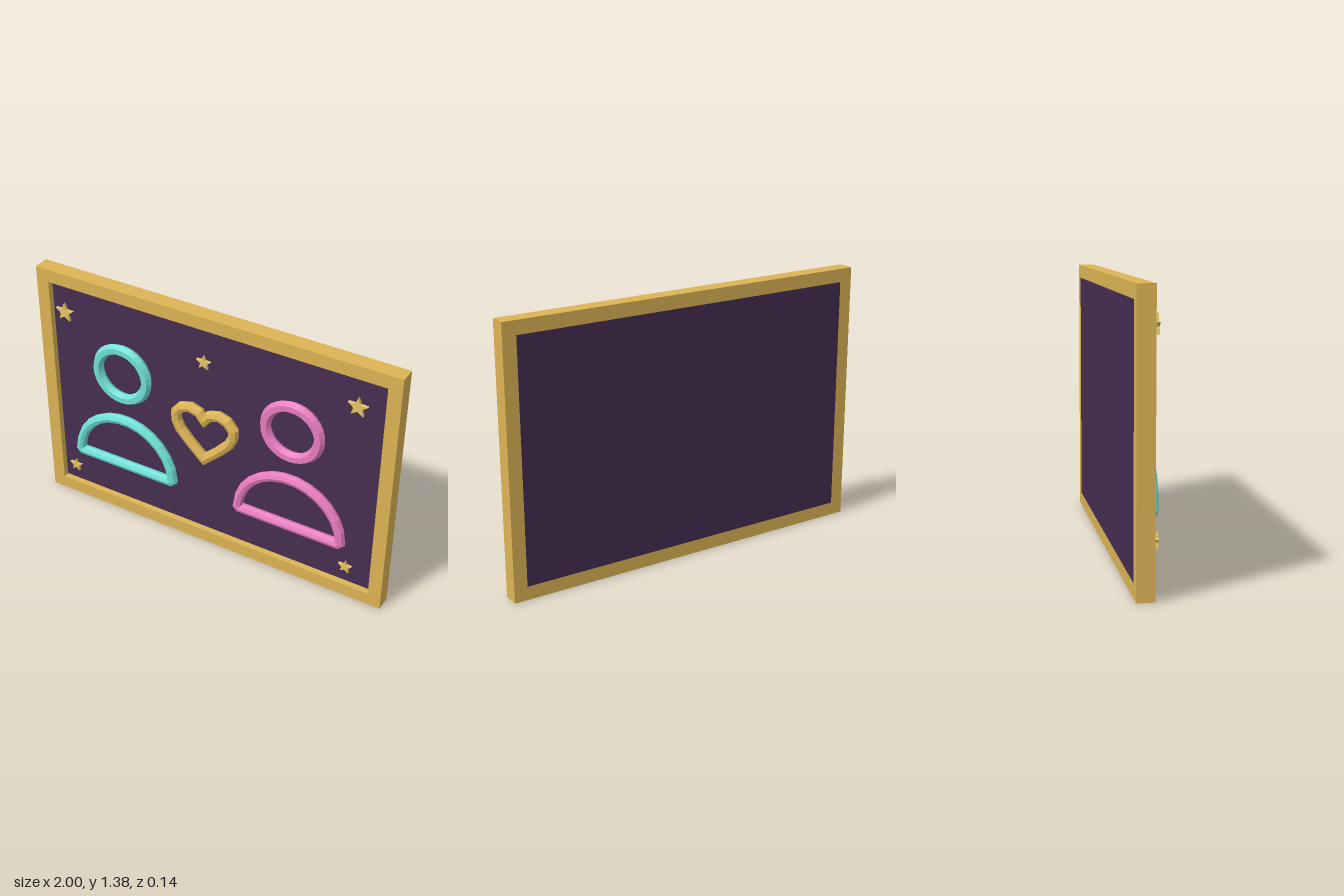
import * as THREE from 'three';

const material = (color) => new THREE.MeshStandardMaterial({ color, flatShading: true });
const gold = material(0xdcb455);
const starGold = material(0xe6c765);
const purple = material(0x462d50);
const teal = material(0x6fe0d6);
const pink = material(0xe87cc0);

const W = 2, H = 1.38, RIM = 0.07, BACK = -0.07, FRONT = 0.015;
const TUBE_Z = 0.043;

function add(parent, name, geometry, mat, x = 0, y = 0, z = 0) {
  const mesh = new THREE.Mesh(geometry, mat);
  mesh.name = name;
  mesh.position.set(x, y, z);
  parent.add(mesh);
  return mesh;
}

// Faceted closed tube around a counter-clockwise outline in the xy plane, with mitred corners
function outlineTube(points, radius, sides) {
  const n = points.length, positions = [], index = [];
  const normalOf = (a, b) => new THREE.Vector2(b.y - a.y, a.x - b.x).normalize();
  points.forEach((p, i) => {
    const n1 = normalOf(points[(i + n - 1) % n], p);
    const n2 = normalOf(p, points[(i + 1) % n]);
    const m = n1.clone().add(n2).normalize();
    const reach = radius * Math.min(1 / m.dot(n1), 1.5);
    for (let j = 0; j < sides; j++) {
      const a = (j / sides) * Math.PI * 2;
      const out = Math.cos(a) * reach;
      positions.push(p.x + m.x * out, p.y + m.y * out, Math.sin(a) * radius);
      const k = (j + 1) % sides, next = (i + 1) % n;
      const A = i * sides + j, B = next * sides + j, C = next * sides + k, D = i * sides + k;
      index.push(A, B, C, A, C, D);
    }
  });
  const g = new THREE.BufferGeometry();
  g.setAttribute('position', new THREE.Float32BufferAttribute(positions, 3));
  g.setIndex(index);
  g.computeVertexNormals();
  return g;
}

function arcPoints(radius, from, to, count) {
  return Array.from({ length: count }, (_, i) => {
    const a = from + ((to - from) * i) / (count - 1);
    return new THREE.Vector2(Math.cos(a) * radius, Math.sin(a) * radius);
  });
}

// Person icon: ring head over a half-round body
function person(name, mat, x) {
  const group = new THREE.Group();
  group.name = name;
  const circle = arcPoints(0.144, 0, Math.PI * 2, 33).slice(0, 32);
  add(group, 'head', outlineTube(circle, 0.0295, 6), mat, 0, 0.92, TUBE_Z);
  const R = 0.288, cut = 0.012, a = cut / R;
  const body = arcPoints(R, a, Math.PI - a, 14);
  body.push(new THREE.Vector2(-R + cut, 0), new THREE.Vector2(R - cut, 0));
  add(group, 'body', outlineTube(body, 0.027, 8), mat, 0, 0.347, TUBE_Z);
  group.position.x = x;
  return group;
}

function heartGeometry() {
  const half = [[0.08, 0.65], [0.14, 0.715], [0.163, 0.765], [0.163, 0.81],
    [0.13, 0.85], [0.08, 0.866], [0.03, 0.85]];
  const mirrored = half.map(([x, y]) => [-x, y]).reverse();
  const path = [[0, 0.575], ...half, [0, 0.812], ...mirrored];
  return outlineTube(path.map(([x, y]) => new THREE.Vector2(x, y)), 0.028, 8);
}

function starGeometry(radius) {
  const pts = Array.from({ length: 10 }, (_, i) => {
    const r = i % 2 ? radius * 0.42 : radius;
    const a = Math.PI / 2 + (i * Math.PI) / 5;
    return new THREE.Vector2(Math.cos(a) * r, Math.sin(a) * r);
  });
  return new THREE.ExtrudeGeometry(new THREE.Shape(pts), { depth: 0.015, bevelEnabled: false });
}

function rectangle(PathType, hw, y0, y1) {
  return new PathType([[-hw, y0], [hw, y0], [hw, y1], [-hw, y1]]
    .map(([x, y]) => new THREE.Vector2(x, y)));
}

export function createModel() {
  const model = new THREE.Group();
  model.name = 'framedSign';

  // Frame with a rectangular opening
  const frame = rectangle(THREE.Shape, W / 2, 0, H);
  frame.holes.push(rectangle(THREE.Path, W / 2 - RIM, RIM, H - RIM));
  add(model, 'frame', new THREE.ExtrudeGeometry(frame, { depth: FRONT - BACK, bevelEnabled: false }),
    gold, 0, 0, BACK);

  // Recessed panel, flush with the back of the frame
  const depth = 0.052;
  add(model, 'backPanel', new THREE.BoxGeometry(W - 2 * RIM, H - 2 * RIM, depth),
    purple, 0, H / 2, BACK + depth / 2);

  // Raised figures and heart
  model.add(person('rightPerson', teal, -0.483), person('leftPerson', pink, 0.483));
  add(model, 'heart', heartGeometry(), gold, 0, 0, TUBE_Z);

  // Stars
  for (const side of [-1, 1]) {
    add(model, 'upperStar', starGeometry(0.053), starGold, side * 0.81, 1.19, 0.044);
    add(model, 'lowerStar', starGeometry(0.038), starGold, side * 0.81, 0.227, 0.044);
  }
  add(model, 'centerStar', starGeometry(0.041), starGold, 0, 1.158, 0.044);

  return model;
}
